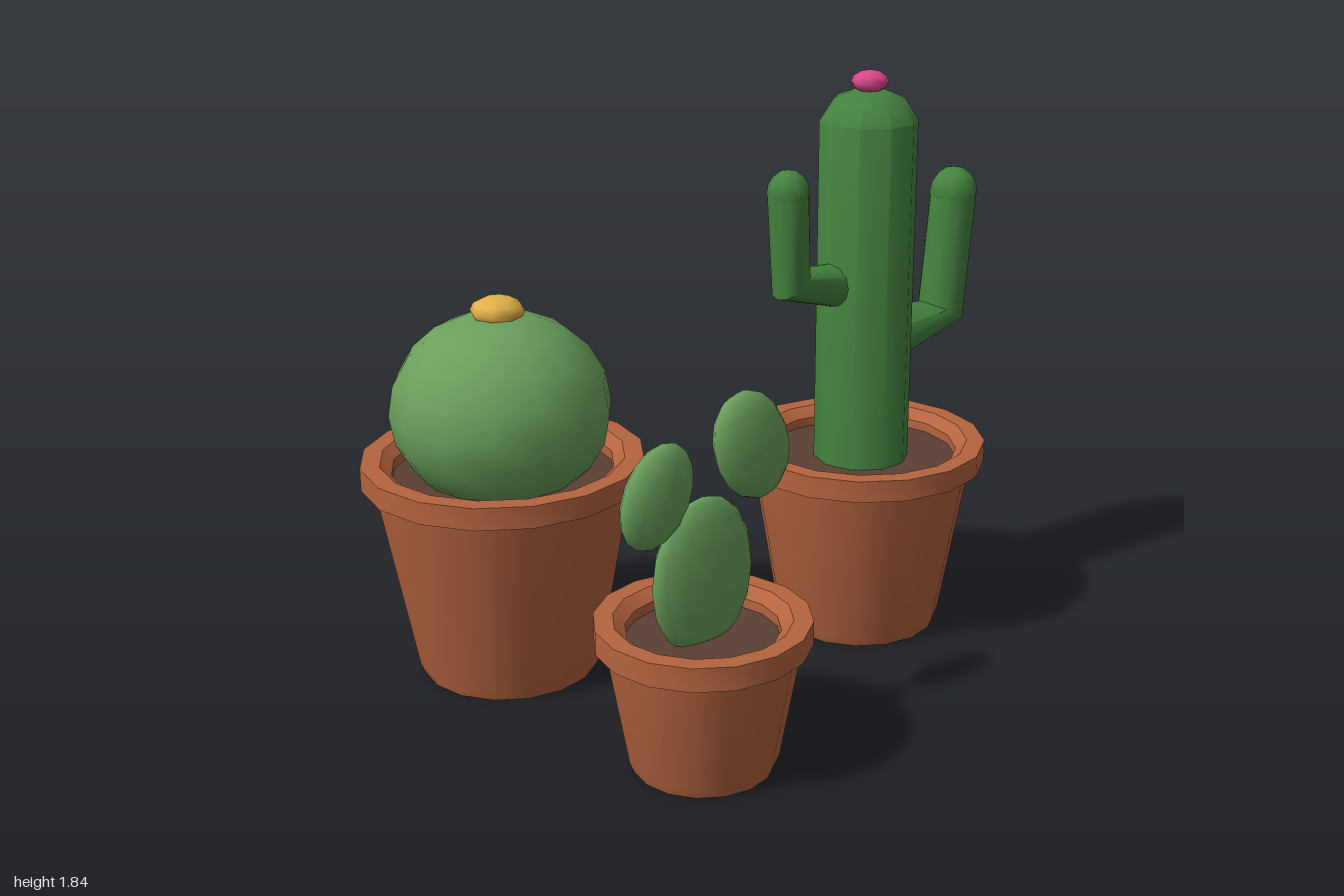
import * as THREE from 'three';
import { toCreasedNormals } from 'three/addons/utils/BufferGeometryUtils.js';

const mat = (color, side = THREE.FrontSide) =>
  new THREE.MeshStandardMaterial({ color, side, roughness: 0.9 });
const CLAY = mat(0xb5643f, THREE.DoubleSide);
const SOIL = mat(0x5a4033);
const DARK_GREEN = mat(0x44833f, THREE.DoubleSide);
const LIGHT_GREEN = mat(0x6a9f5b);
const PINK = mat(0xd9488a);
const YELLOW = mat(0xe3b047);

function add(parent, name, geometry, material, x = 0, y = 0, z = 0) {
  const mesh = new THREE.Mesh(geometry, material);
  mesh.name = name;
  mesh.position.set(x, y, z);
  parent.add(mesh);
  return mesh;
}

const lathe = (points, sides, crease = 0.7) =>
  toCreasedNormals(new THREE.LatheGeometry(points.map(p => new THREE.Vector2(...p)), sides), crease);

// Ellipsoid with the given half sizes
function blob(parent, name, material, [rx, ry, rz], [x, y, z], tilt = 0, w = 12, h = 8) {
  const mesh = add(parent, name, new THREE.SphereGeometry(1, w, h).scale(rx, ry, rz), material, x, y, z);
  mesh.rotation.z = tilt;
  return mesh;
}

// Tapered pot with a thick rim, and the soil inside
function addPot(parent, { rim, inner, top, bottom, height, lip }) {
  const h = height;
  add(parent, 'pot', lathe([
    [0, 0], [bottom - 0.012, 0], [bottom, 0.03], [top, h - lip],
  ], 16), CLAY);
  add(parent, 'potRim', lathe([
    [top - 0.02, h - lip], [rim, h - lip], [rim, h], [inner + 0.035, h], [inner, h - 0.03], [inner, h - 0.1],
  ], 16), CLAY);
  add(parent, 'soil', new THREE.CylinderGeometry(inner + 0.005, inner - 0.01, 0.04, 16), SOIL, 0, h - 0.08);
}

// Bent arm: each ring is an inner and an outer point in the xy plane
function armGeometry(rings, depth, sides = 12) {
  const pos = [], index = [];
  for (const [[ax, ay], [bx, by]] of rings) {
    for (let i = 0; i < sides; i++) {
      const a = (i / sides) * Math.PI * 2, t = (1 - Math.cos(a)) / 2;
      pos.push(ax + (bx - ax) * t, ay + (by - ay) * t, Math.sin(a) * depth);
    }
  }
  for (let r = 0; r < rings.length - 1; r++) {
    for (let i = 0; i < sides; i++) {
      const j = (i + 1) % sides, a = r * sides + i, b = r * sides + j;
      index.push(a, b, a + sides, b, b + sides, a + sides);
    }
  }
  // Keep the faces outward whichever way the arm bends
  const [[ax, ay], [bx, by]] = rings[0], [cx, cy] = rings[1][0];
  if ((bx - ax) * (cy - ay) - (by - ay) * (cx - ax) > 0) index.reverse();
  const g = new THREE.BufferGeometry();
  g.setAttribute('position', new THREE.Float32BufferAttribute(pos, 3));
  g.setIndex(index);
  return toCreasedNormals(g, 0.8);
}

function plant(name, x, z) {
  const group = new THREE.Group();
  group.name = name;
  group.position.set(x, 0, z);
  return group;
}

// Round cactus with a yellow flower
function createBallCactus() {
  const g = plant('ballCactus', -0.563, -0.385);
  addPot(g, { rim: 0.44, inner: 0.345, top: 0.4, bottom: 0.29, height: 0.705, lip: 0.07 });
  blob(g, 'ball', LIGHT_GREEN, [0.343, 0.305, 0.343], [0, 0.857, 0], 0, 14, 10);
  blob(g, 'flower', YELLOW, [0.085, 0.045, 0.085], [0, 1.168, 0], 0, 8, 6);
  return g;
}

// Tall column cactus with two raised arms
function createColumnCactus() {
  const g = plant('columnCactus', 0.527, 0.077);
  addPot(g, { rim: 0.402, inner: 0.31, top: 0.36, bottom: 0.27, height: 0.633, lip: 0.07 });
  const column = add(g, 'column', lathe([
    [0.155, 0.5], [0.155, 1.68], [0.11, 1.75], [0.055, 1.772], [0, 1.775],
  ], 10, 0.75), DARK_GREEN);
  column.rotation.y = Math.PI / 2;
  blob(g, 'flower', PINK, [0.06, 0.036, 0.057], [0, 1.8, 0], 0, 8, 6);

  const arms = [
    ['rightArm', [[[-0.06, 1.24], [-0.06, 1.08]], [[-0.26, 1.25], [-0.373, 1.17]],
      [[-0.268, 1.5], [-0.398, 1.5]]], 0.065],
    ['leftArm', [[[0.06, 1.05], [0.06, 0.855]], [[0.28, 1.037], [0.425, 0.963]],
      [[0.32, 1.395], [0.469, 1.395]]], 0.077],
  ];
  for (const [name, rings, r] of arms) {
    add(g, name, armGeometry(rings, r), DARK_GREEN);
    const [[ax, ay], [bx]] = rings[2];
    blob(g, name + 'Tip', DARK_GREEN, [r * 1.02, r * 1.08, r * 1.02], [(ax + bx) / 2, ay, 0], 0, 10, 8);
  }
  return g;
}

// Flat pad cactus: one large pad carrying two smaller ones
function createPadCactus() {
  const g = plant('padCactus', -0.493, 0.502);
  addPot(g, { rim: 0.313, inner: 0.222, top: 0.283, bottom: 0.22, height: 0.458, lip: 0.072 });
  blob(g, 'mainPad', LIGHT_GREEN, [0.18, 0.235, 0.055], [0, 0.59, 0]);
  blob(g, 'rightPad', LIGHT_GREEN, [0.115, 0.155, 0.05], [-0.16, 0.865, 0], -0.45);
  blob(g, 'leftPad', LIGHT_GREEN, [0.128, 0.172, 0.058], [0.177, 0.934, 0], 0.4);
  return g;
}

export function createModel() {
  const model = new THREE.Group();
  model.name = 'pottedCacti';
  model.add(createBallCactus(), createColumnCactus(), createPadCactus());
  return model;
}
